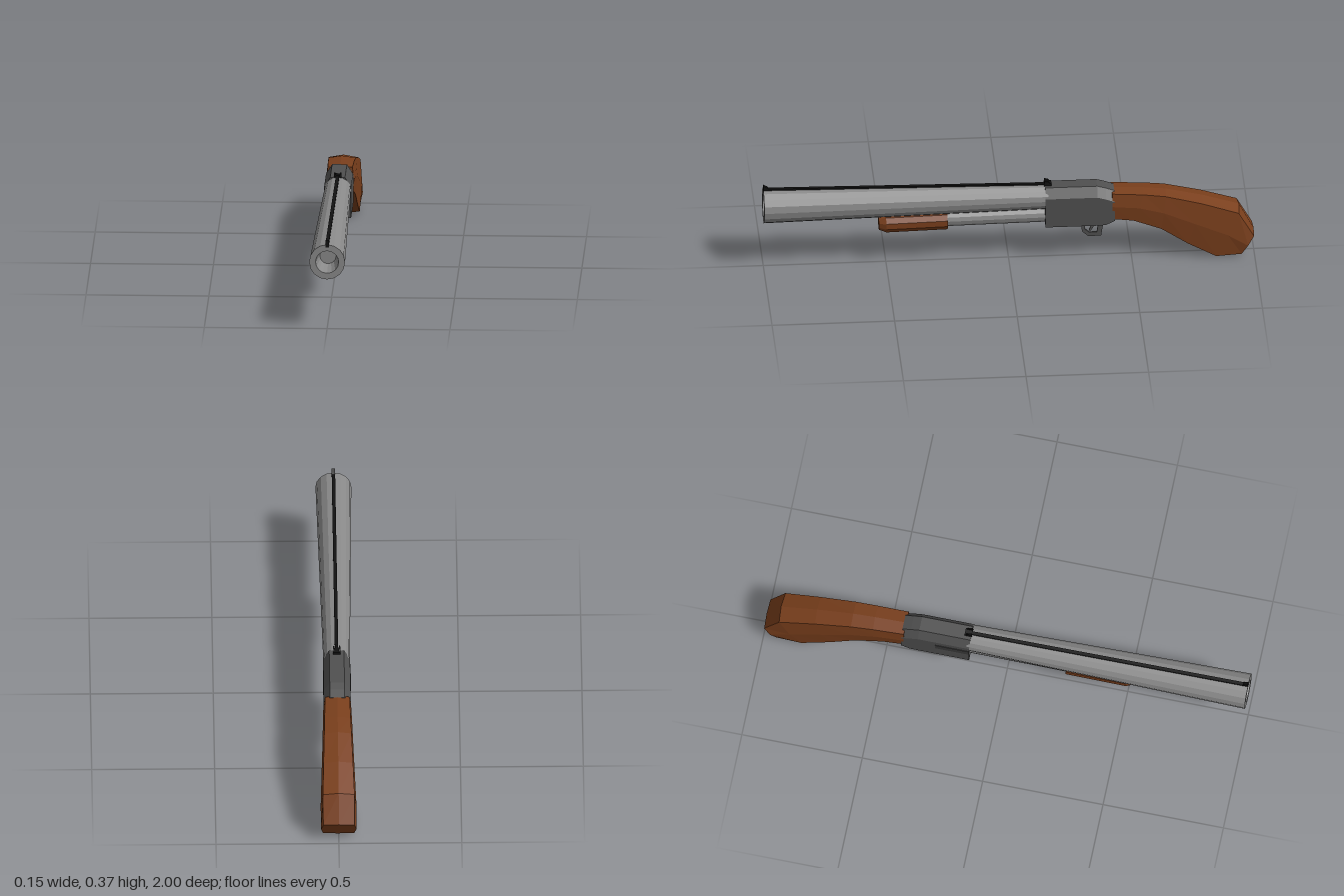
import * as THREE from 'three';

const paint = (color, side = THREE.FrontSide) =>
  new THREE.MeshStandardMaterial({ color, flatShading: true, side });
const steel = paint(0x8a8a8a, THREE.DoubleSide);
const darkSteel = paint(0x505050);
const black = paint(0x111111);
const wood = paint(0x7a3f1c);

function part(group, name, geometry, material, x = 0, y = 0, z = 0) {
  const mesh = new THREE.Mesh(geometry, material);
  mesh.name = name;
  mesh.position.set(x, y, z);
  group.add(mesh);
  return mesh;
}

// Skin over rings of [x, y, z], listed front to back, clockwise seen from the front
function loft(rings) {
  const pos = [];
  const n = rings[0].length;
  const tri = (a, b, c) => pos.push(...a, ...b, ...c);
  const centre = (r) => [0, 1, 2].map((k) => r.reduce((s, p) => s + p[k], 0) / n);
  const first = rings[0];
  const last = rings[rings.length - 1];
  for (let j = 0; j < n; j++) {
    const k = (j + 1) % n;
    for (let i = 0; i < rings.length - 1; i++) {
      tri(rings[i][j], rings[i][k], rings[i + 1][k]);
      tri(rings[i][j], rings[i + 1][k], rings[i + 1][j]);
    }
    tri(centre(first), first[k], first[j]);
    tri(centre(last), last[j], last[k]);
  }
  const g = new THREE.BufferGeometry();
  g.setAttribute('position', new THREE.Float32BufferAttribute(pos, 3));
  g.computeVertexNormals();
  return g;
}

// Turned part along z; profile points are [radius, z]
function turned(profile, sides) {
  const g = new THREE.LatheGeometry(profile.map(([r, z]) => new THREE.Vector2(r, z)), sides);
  return g.rotateX(Math.PI / 2);
}

// Flat plate in the side plane; points are [z, y]
function plate(points, hole, width) {
  const toVec = ([z, y]) => new THREE.Vector2(-z, y);
  const shape = new THREE.Shape(points.map(toVec));
  if (hole) shape.holes.push(new THREE.Path(hole.map(toVec)));
  const g = new THREE.ExtrudeGeometry(shape, { depth: width, bevelEnabled: false });
  return g.translate(0, 0, -width / 2).rotateY(Math.PI / 2);
}

export function createModel() {
  const model = new THREE.Group();
  model.name = 'shotgun';

  // Flared barrel with a stepped bore
  part(model, 'barrel', turned([
    [0, -0.16], [0.054, -0.16], [0.073, 1], [0.047, 1], [0.033, 0.9], [0, 0.9],
  ], 16), steel, 0, 0.283, 0);

  // Magazine tube and sliding fore-end
  part(model, 'magazineTube', turned([
    [0, -0.16], [0.033, -0.16], [0.033, 0.27], [0, 0.27],
  ], 12), steel, 0, 0.198, 0).rotation.x = 0.012;
  part(model, 'foreEnd', turned([
    [0, 0.25], [0.041, 0.25], [0.041, 0.5], [0.028, 0.53], [0, 0.53],
  ], 10), wood, 0, 0.194, 0).rotation.x = 0.02;

  // Receiver with chamfered top edges and a sloping rear
  const receiverRing = ([z, top, bottom]) => [
    [-0.03, top, z], [0.03, top, z], [0.055, top - 0.04, z],
    [0.055, bottom, z], [-0.055, bottom, z], [-0.055, top - 0.04, z],
  ];
  part(model, 'receiver', loft([
    [-0.148, 0.335, 0.165], [-0.36, 0.335, 0.165], [-0.395, 0.325, 0.167], [-0.43, 0.312, 0.185],
  ].map(receiverRing)), darkSteel);
  part(model, 'ejectionPort', new THREE.BoxGeometry(0.004, 0.032, 0.14), paint(0x3c3c3c),
    -0.055, 0.25, -0.219);

  // Curved grip: [top z, top y, bottom z, bottom y, half width]
  const gripRing = ([tz, ty, bz, by, w]) => {
    const at = (x, t) => [x, ty + (by - ty) * t, tz + (bz - tz) * t];
    return [
      at(0, 0), at(w * 0.88, 0.05), at(w, 0.5), at(w * 0.88, 0.97),
      at(0, 1), at(-w * 0.88, 0.97), at(-w, 0.5), at(-w * 0.88, 0.05),
    ];
  };
  part(model, 'grip', loft([
    [-0.42, 0.313, -0.42, 0.187, 0.057],
    [-0.55, 0.306, -0.505, 0.178, 0.06],
    [-0.64, 0.297, -0.62, 0.135, 0.063],
    [-0.79, 0.262, -0.725, 0.065, 0.068],
    [-0.94, 0.215, -0.84, 0.003, 0.073],
    [-1, 0.1, -0.945, 0.013, 0.072],
  ].map(gripRing)), wood);

  // Trigger guard and trigger
  part(model, 'triggerGuard', plate(
    [[-0.26, 0.17], [-0.297, 0.137], [-0.3, 0.112], [-0.325, 0.09], [-0.378, 0.09], [-0.39, 0.17]],
    [[-0.312, 0.146], [-0.312, 0.122], [-0.33, 0.107], [-0.36, 0.107], [-0.366, 0.146]], 0.008,
  ), darkSteel);
  part(model, 'trigger', plate(
    [[-0.328, 0.15], [-0.334, 0.13], [-0.328, 0.115], [-0.336, 0.115], [-0.346, 0.13], [-0.345, 0.15]],
    null, 0.006,
  ), darkSteel);

  // Sighting rib, front sight and notched rear sight
  part(model, 'rib', plate(
    [[1, 0.362], [1, 0.345], [-0.16, 0.325], [-0.16, 0.342]], null, 0.014,
  ), black);
  part(model, 'frontSight', plate(
    [[1, 0.376], [1, 0.35], [0.97, 0.35], [0.985, 0.368]], null, 0.014,
  ), black);
  part(model, 'rearSightBase', new THREE.BoxGeometry(0.03, 0.014, 0.03), black, 0, 0.339, -0.16);
  for (const side of [-1, 1]) {
    part(model, 'rearSightPost', plate(
      [[-0.146, 0.357], [-0.146, 0.34], [-0.175, 0.34], [-0.162, 0.353]], null, 0.006,
    ), black, side * 0.012, 0, 0);
  }
  return model;
}
